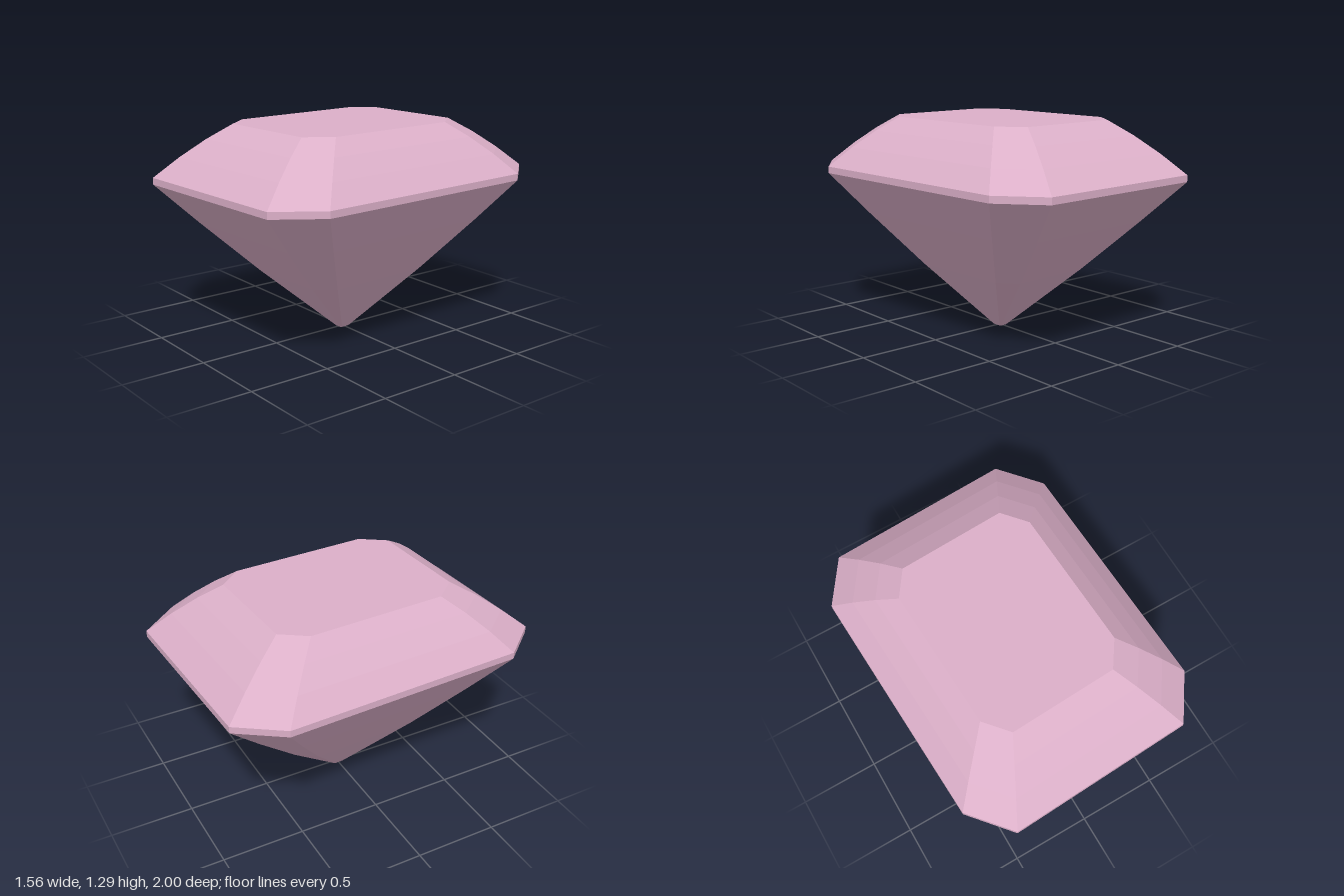
import * as THREE from 'three';

// Girdle outline (x, z); the other four corners follow by half-turn symmetry
const half = [[0.715, -0.76], [0.78, 0.687], [0.6, 0.947], [-0.51, 1.0]];
const outline = [...half, ...half.map(([x, z]) => [-x, -z])];
const n = outline.length;

// Stack of scaled outlines, given as [scale, y] from bottom to top
function facetedStack(levels, { capTop = false, capBottom = false } = {}) {
  const positions = [];
  const index = [];
  for (const [s, y] of levels) {
    for (const [x, z] of outline) positions.push(x * s, y, z * s);
  }
  for (let l = 0; l < levels.length - 1; l++) {
    for (let k = 0; k < n; k++) {
      const a = l * n + k;
      const b = l * n + ((k + 1) % n);
      index.push(a, a + n, b, b, a + n, b + n);
    }
  }
  const top = (levels.length - 1) * n;
  for (let k = 1; k < n - 1; k++) {
    if (capTop) index.push(top, top + k + 1, top + k);
    if (capBottom) index.push(0, k, k + 1);
  }
  const indexed = new THREE.BufferGeometry();
  indexed.setAttribute('position', new THREE.Float32BufferAttribute(positions, 3));
  indexed.setIndex(index);
  const geometry = indexed.toNonIndexed();
  geometry.computeVertexNormals();
  return geometry;
}

export function createModel() {
  const gem = new THREE.Group();
  gem.name = 'gem';
  const pink = new THREE.MeshStandardMaterial({ color: 0xdbafc8 });
  pink.name = 'rose pink';
  pink.flatShading = true;

  const add = (name, levels, caps) => {
    const mesh = new THREE.Mesh(facetedStack(levels, caps), pink);
    mesh.name = name;
    gem.add(mesh);
  };

  // Pointed lower body, slightly convex, with a tiny flat tip
  add('pavilion', [[0.035, 0], [0.45, 0.385], [0.765, 0.7], [1, 0.945]], { capBottom: true });
  // Thin upright band at the widest point
  add('girdle', [[1, 0.945], [1, 0.985]]);
  // Stepped upper facets and flat table
  add('crown', [[1, 0.985], [0.86, 1.102], [0.72, 1.203], [0.58, 1.288]], { capTop: true });

  return gem;
}
